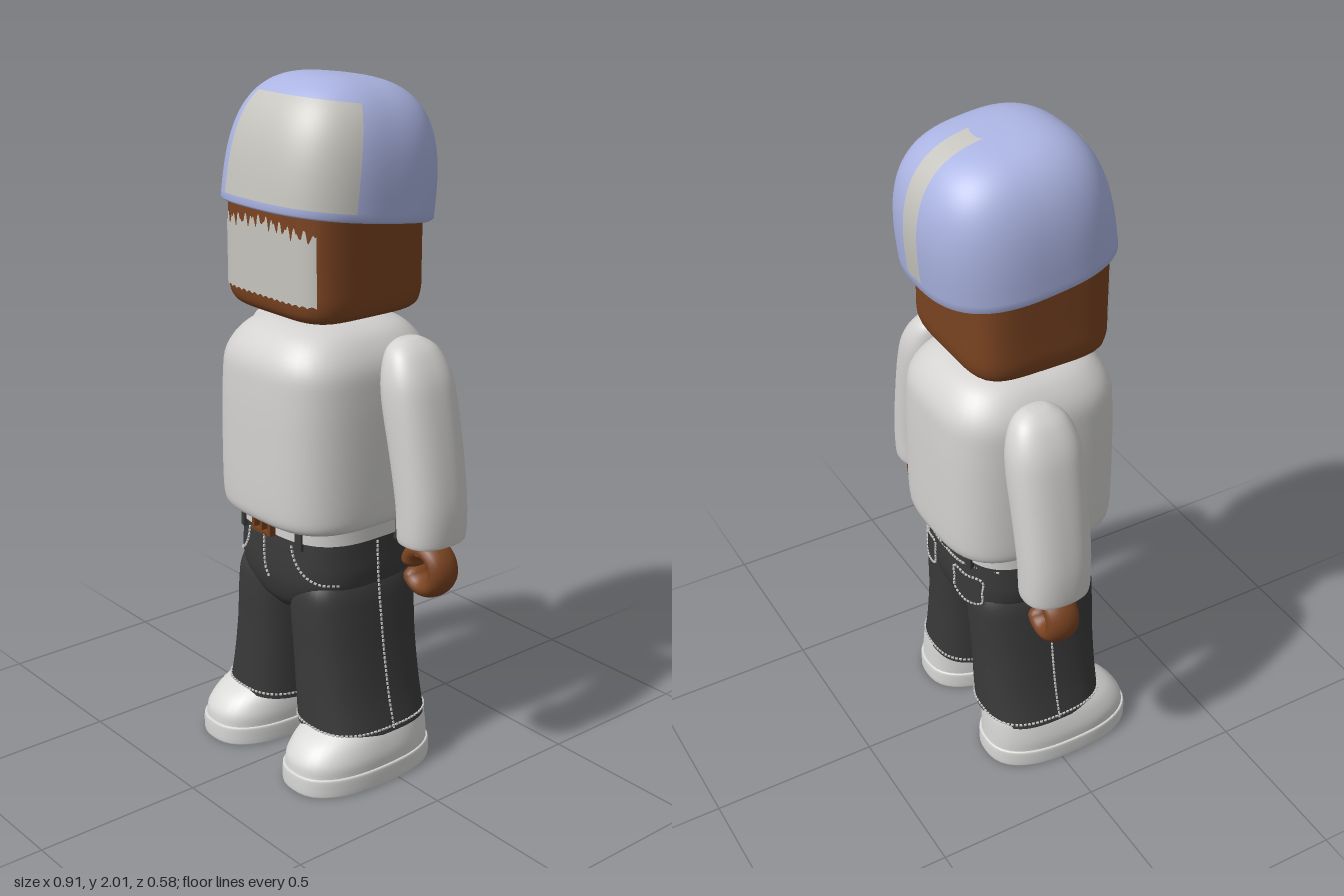
import * as THREE from 'three';
import { mergeGeometries } from 'three/addons/utils/BufferGeometryUtils.js';

const mat = (name, color) => {
  const m = new THREE.MeshStandardMaterial({ color });
  m.name = name;
  return m;
};

// radius of a superellipse in direction t, measured from +z towards +x
const ring = (t, a, b, n) => {
  const r = (Math.abs(Math.sin(t) / a) ** n + Math.abs(Math.cos(t) / b) ** n) ** (-1 / n);
  return [Math.sin(t) * r, Math.cos(t) * r];
};
// depth of a superellipse at a given x
const depth = (x, a, b, n) => b * Math.max(0, 1 - Math.abs(x / a) ** n) ** (1 / n);

// smooth capped loft through sections [y, halfWidth, halfDepth, centreX, centreZ]
function loft(keys, n, steps = 5, seg = 64) {
  const size = new THREE.CatmullRomCurve3(keys.map(k => new THREE.Vector3(k[0], k[1], k[2])), false, 'catmullrom');
  const mid = new THREE.CatmullRomCurve3(keys.map(k => new THREE.Vector3(k[3] || 0, k[4] || 0, 0)), false, 'catmullrom');
  const rows = (keys.length - 1) * steps, pos = [], idx = [];
  const addRow = (t) => {
    const s = size.getPoint(t), c = mid.getPoint(t);
    for (let j = 0; j < seg; j++) {
      const [x, z] = ring(j / seg * Math.PI * 2, s.y, s.z, n);
      pos.push(c.x + x, s.x, c.y + z);
    }
    return [c.x, s.x, c.y];
  };
  for (let i = 0; i <= rows; i++) addRow(i / rows);
  for (let i = 0; i < rows; i++) for (let j = 0; j < seg; j++) {
    const k = (j + 1) % seg, a = i * seg, b = a + seg;
    idx.push(a + j, a + k, b + j, a + k, b + k, b + j);
  }
  for (const t of [0, 1]) {
    const start = pos.length / 3, c = addRow(t), centre = pos.length / 3;
    pos.push(...c);
    for (let j = 0; j < seg; j++) {
      const k = (j + 1) % seg;
      idx.push(centre, start + (t ? j : k), start + (t ? k : j));
    }
  }
  return build(pos, idx);
}

function build(pos, idx) {
  const g = new THREE.BufferGeometry();
  g.setAttribute('position', new THREE.Float32BufferAttribute(pos, 3));
  g.setIndex(idx);
  g.computeVertexNormals();
  return g;
}

// thin sheet from a rule f(u, v) -> [x, y, z], facing du x dv
function sheet(f, nu, nv) {
  const pos = [], idx = [];
  for (let i = 0; i <= nv; i++) for (let j = 0; j <= nu; j++) pos.push(...f(j / nu, i / nv));
  for (let i = 0; i < nv; i++) for (let j = 0; j < nu; j++) {
    const a = i * (nu + 1) + j, b = a + nu + 1;
    idx.push(a, a + 1, b, a + 1, b + 1, b);
  }
  return build(pos, idx);
}

// row of small stitches along a path
function stitches(points, closed = false) {
  const curve = new THREE.CatmullRomCurve3(points.map(p => new THREE.Vector3(...p)), closed, 'centripetal');
  const count = Math.round(curve.getLength() / 0.013), parts = [], o = new THREE.Object3D();
  for (let i = 0; i < count; i++) {
    const t = (i + 0.5) / count;
    o.position.copy(curve.getPointAt(t));
    o.lookAt(o.position.clone().add(curve.getTangentAt(t)));
    o.updateMatrix();
    parts.push(new THREE.BoxGeometry(0.005, 0.005, 0.008).applyMatrix4(o.matrix));
  }
  return mergeGeometries(parts);
}

export function createModel() {
  const root = new THREE.Group();
  root.name = 'figure';
  const lavender = mat('lavender', 0xabb4e2), white = mat('shirt white', 0xd3d2d0);
  const shoeWhite = mat('shoe white', 0xd8d8d7), grey = mat('patch grey', 0xc6c4be);
  const skin = mat('brown skin', 0x7a4321), denim = mat('black denim', 0x3a3a3b);
  const thread = mat('thread', 0xc9c9c7), copper = mat('buckle brown', 0x75401f);
  const add = (name, geometry, material, parent = root) => {
    const m = new THREE.Mesh(geometry, material);
    m.name = name;
    parent.add(m);
    return m;
  };

  // Head, neck and ragged face covering
  add('head', loft([[1.358, 0.16, 0.15, 0, 0.005], [1.372, 0.208, 0.193, 0, 0.005], [1.41, 0.227, 0.211, 0, 0.005],
    [1.5, 0.228, 0.213, 0, 0.005], [1.7, 0.228, 0.213, 0, 0.005]], 4.8), skin);
  add('neck', new THREE.CylinderGeometry(0.1, 0.1, 0.06, 40).translate(0, 1.35, 0), skin);
  add('faceCovering', sheet((u, v) => {
    const x = -0.197 + 0.394 * u;
    const jag = Math.abs(Math.sin(u * 41)) ** 3 * 0.026 + Math.abs(Math.sin(u * 67 + 1)) ** 4 * 0.014;
    const top = 1.645 - 0.02 * Math.abs(2 * u - 1) - jag, low = 1.418 + 0.006 * Math.abs(Math.sin(u * 50));
    return [x, low + (top - low) * v, 0.009 + depth(x, 0.228, 0.213, 4.8)];
  }, 160, 4), grey);

  // Tilted rounded cap
  const cap = new THREE.Group();
  cap.name = 'cap';
  cap.position.set(0, 1.632, -0.003);
  cap.rotation.x = -0.136;
  root.add(cap);
  const A = 0.264, B = 0.274, H = 0.37, N = 2.7;
  const swell = h => Math.max(0, 1 - (h / H) ** 3) ** (1 / 3);
  const dome = [[0.03, 0.21, 0.2], [0.002, 0.225, 0.215], [0, 0.256, 0.267]];
  for (let i = 0; i <= 28; i++) {
    const p = 0.02 + (Math.PI / 2 - 0.022) * i / 28, s = Math.cos(p) ** (2 / 3);
    dome.push([H * Math.sin(p) ** (2 / 3), A * s, B * s]);
  }
  dome.splice(3, 0, [0.006, A, B]);
  add('capShell', loft(dome, N, 1, 96), lavender, cap);
  add('capFrontPatch', sheet((u, v) => {
    const h = 0.024 + 0.278 * v, s = swell(h);
    const [x, z] = ring((-24 + 90 * u) * Math.PI / 180, A * s + 0.003, B * s + 0.003, N);
    return [x, h + 0.003 * v, z];
  }, 40, 24), grey, cap);
  add('capBackStripe', sheet((u, v) => {
    const p = 0.03 + 1.465 * v, s = Math.cos(p) ** (2 / 3), x = 0.037 - 0.074 * u;
    return [x, H * Math.sin(p) ** (2 / 3) + 0.003 * v, -depth(x, A * s + 0.003, B * s + 0.003, N)];
  }, 8, 40), grey, cap);

  // Pullover body and collar
  add('torso', loft([[0.768, 0.236, 0.242], [0.785, 0.251, 0.261], [0.84, 0.256, 0.267], [1.0, 0.255, 0.268], [1.15, 0.25, 0.266],
    [1.24, 0.238, 0.256], [1.305, 0.195, 0.21], [1.335, 0.14, 0.15], [1.342, 0.09, 0.09]], 3.2), white);
  add('collar', new THREE.CylinderGeometry(0.108, 0.112, 0.03, 40).translate(0, 1.341, 0), white);

  // Hips of the trousers, with a matching surface rule for the details
  const HN = 3;
  add('hips', loft([[0.485, 0.05, 0.16], [0.52, 0.15, 0.188], [0.57, 0.217, 0.204], [0.62, 0.231, 0.209],
    [0.68, 0.228, 0.208], [0.742, 0.224, 0.204]], HN), denim);
  const hip = (x, y, back = 1, out = 0.003) =>
    [x, y, back * (depth(x, 0.232 - (y - 0.6) * 0.05, 0.209, HN) + out)];
  add('flyStitch', stitches([hip(-0.022, 0.72), hip(-0.022, 0.65), hip(-0.016, 0.61), hip(0, 0.585)]), thread);
  add('yokeStitch', stitches([-0.2, -0.1, 0, 0.1, 0.2].map(x => hip(x, 0.69 + 0.1 * Math.abs(x), -1))), thread);

  // Belt, buckle and loops
  add('belt', loft([[0.728, 0.235, 0.214], [0.785, 0.235, 0.214]], HN, 1), white);
  const frame = new THREE.Shape([[-0.042, -0.026], [0.042, -0.026], [0.042, 0.026], [-0.042, 0.026]].map(p => new THREE.Vector2(...p)));
  for (const x of [-0.031, 0.005]) {
    frame.holes.push(new THREE.Path([[x, -0.016], [x, 0.016], [x + 0.026, 0.016], [x + 0.026, -0.016]].map(p => new THREE.Vector2(...p))));
  }
  add('buckle', new THREE.ExtrudeGeometry(frame, { depth: 0.022, bevelEnabled: false }).translate(-0.008, 0.751, 0.212), copper);
  for (const deg of [-32, 32, 108, -108, 148, -148, 180]) {
    const t = deg * Math.PI / 180, [x, z] = ring(t, 0.235, 0.214, HN);
    const loop = add('beltLoop', new THREE.BoxGeometry(0.022, 0.08, 0.014), denim);
    loop.position.set(x, 0.745, z);
    loop.rotation.y = Math.atan2(Math.sign(x) * Math.abs(x / 0.235) ** 2 / 0.235, Math.sign(z) * Math.abs(z / 0.214) ** 2 / 0.214);
  }

  // Everything that comes in pairs
  for (const s of [1, -1]) {
    const side = new THREE.Group();
    side.name = s > 0 ? 'leftLimbs' : 'rightLimbs';
    root.add(side);
    const limb = (keys, n, steps) => loft(keys.map(([y, a, b, x, z]) => [y, a, b, x * s, z]), n, steps);

    // Sleeve
    add('sleeve', limb([[0.752, 0.068, 0.09, 0.376, -0.07], [0.762, 0.078, 0.101, 0.376, -0.07], [0.86, 0.081, 0.104, 0.373, -0.07],
      [1.0, 0.084, 0.107, 0.349, -0.07], [1.14, 0.085, 0.109, 0.318, -0.07], [1.22, 0.077, 0.102, 0.301, -0.07],
      [1.28, 0.057, 0.078, 0.283, -0.07], [1.308, 0.03, 0.042, 0.272, -0.07], [1.314, 0.008, 0.01, 0.27, -0.07]], 2.4), white, side);

    // Open gripping hand
    const hand = new THREE.Group();
    hand.name = 'hand';
    hand.position.set(0.37 * s, 0.664, -0.07);
    hand.rotation.y = s > 0 ? 0 : Math.PI;
    hand.scale.z = 1.7;
    side.add(hand);
    const from = 218 * Math.PI / 180, arc = 305 * Math.PI / 180;
    add('grip', new THREE.TorusGeometry(0.056, 0.03, 20, 48, arc).rotateZ(from), skin, hand);
    for (const t of [from, from + arc]) {
      add('fingerTip', new THREE.SphereGeometry(0.03, 20, 14).translate(0.056 * Math.cos(t), 0.056 * Math.sin(t), 0), skin, hand);
    }
    add('wrist', new THREE.CylinderGeometry(0.028, 0.03, 0.06, 24).translate(0, 0.075, 0), skin, hand);

    // Flared trouser leg
    add('trouserLeg', limb([[0.145, 0.146, 0.187, 0.166, 0.003], [0.25, 0.135, 0.187, 0.149, 0.003], [0.38, 0.127, 0.188, 0.134, 0.003],
      [0.5, 0.121, 0.193, 0.124, 0.002], [0.57, 0.112, 0.19, 0.121, 0], [0.63, 0.09, 0.16, 0.118, 0]], 2.7), denim, side);
    const hem = [];
    for (let i = 0; i < 32; i++) {
      const [x, z] = ring(i / 16 * Math.PI, 0.147, 0.189, 2.7);
      hem.push([0.164 * s + x, 0.162, z + 0.003]);
    }
    add('hemStitch', stitches(hem, true), thread, side);
    add('sideSeam', stitches([[0.229, 0.72], [0.234, 0.62], [0.247, 0.5], [0.263, 0.38], [0.286, 0.25], [0.311, 0.15]]
      .map(([x, y]) => [x * s, y, 0])), thread, side);

    // Front and back pockets
    add('frontPocketStitch', stitches([[0.095, 0.715], [0.108, 0.67], [0.14, 0.63], [0.18, 0.61], [0.215, 0.605]]
      .map(([x, y]) => hip(x * s, y))), thread, side);
    add('backPocket', sheet((u, v) => {
      const x = 0.115 * s + 0.06 - 0.12 * u, low = 0.565 + 0.02 * Math.abs(2 * u - 1);
      return hip(x, low + (0.675 - low) * v, -1, 0.008);
    }, 12, 6), denim, side);
    const pocket = [[0.06, 0.67], [0.06, 0.63], [0.062, 0.59], [0.115, 0.572], [0.168, 0.59], [0.17, 0.63], [0.17, 0.67], [0.115, 0.67]];
    add('backPocketStitch', stitches(pocket.map(([x, y]) => hip(x * s, y, -1, 0.01)), true), thread, side);

    // Shoe
    add('sole', limb([[0, 0.136, 0.236, 0.195, 0.045], [0.006, 0.14, 0.24, 0.195, 0.045], [0.05, 0.14, 0.24, 0.195, 0.045],
      [0.057, 0.136, 0.236, 0.195, 0.045]], 2.5, 3), shoeWhite, side);
    add('shoeUpper', limb([[0.05, 0.133, 0.233, 0.195, 0.045], [0.09, 0.133, 0.229, 0.194, 0.042], [0.13, 0.126, 0.212, 0.191, 0.026],
      [0.16, 0.117, 0.187, 0.187, 0.004], [0.178, 0.104, 0.16, 0.184, -0.008], [0.184, 0.08, 0.12, 0.182, -0.01]], 2.5), shoeWhite, side);
  }
  return root;
}
